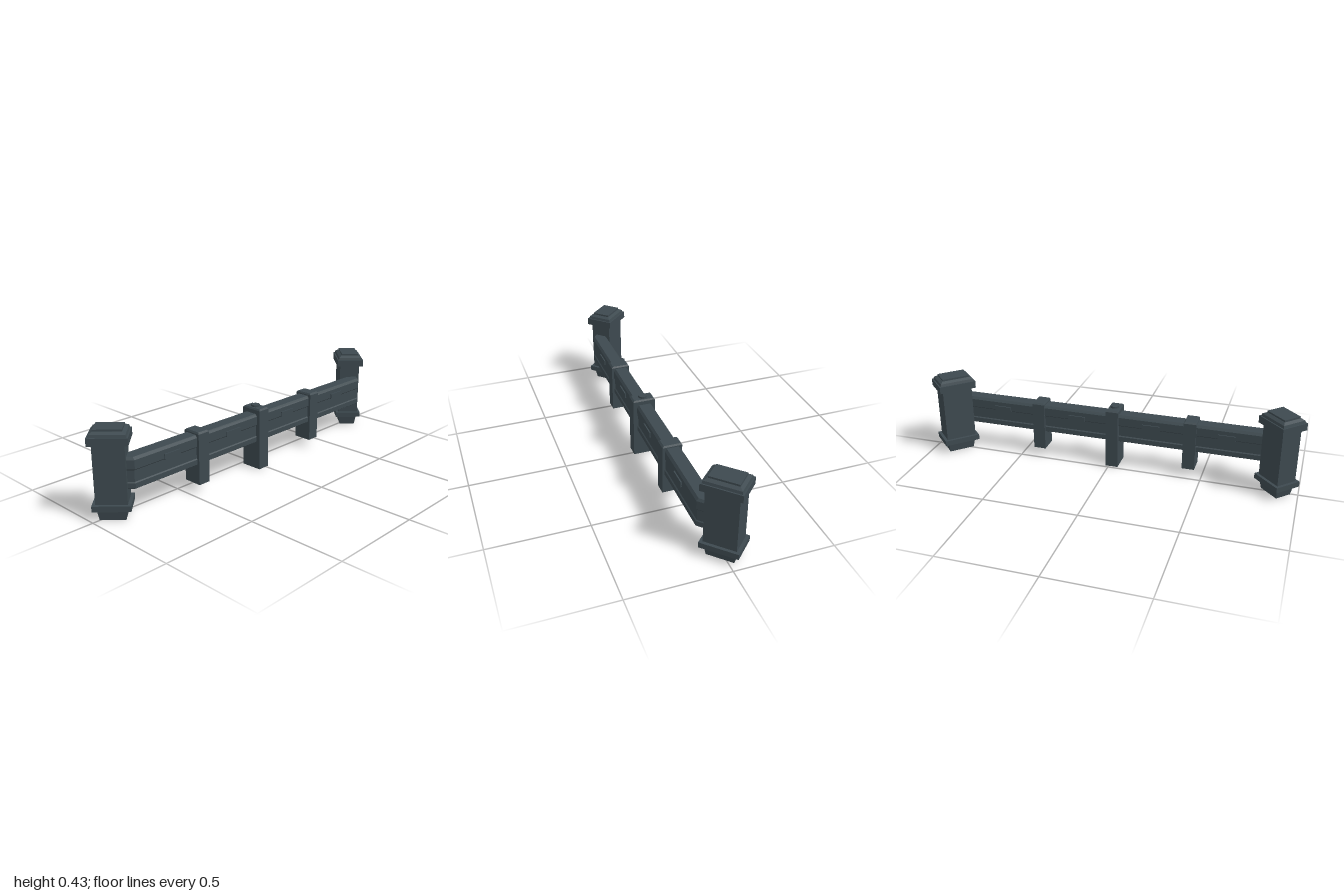
import * as THREE from 'three';

const steel = new THREE.MeshStandardMaterial({ color: 0x3d494f, side: THREE.DoubleSide });
steel.name = 'dark slate steel';

function mesh(name, geometry, parent) {
  const flat = geometry.index ? geometry.toNonIndexed() : geometry;
  flat.computeVertexNormals();
  const m = new THREE.Mesh(flat, steel);
  m.name = name;
  parent.add(m);
  return m;
}

// Box from y0 to y1 whose top may differ in size from its bottom
function block(y0, y1, w0, d0, w1 = w0, d1 = d0, openBottom = false) {
  const g = new THREE.BoxGeometry(1, 1, 1);
  const p = g.attributes.position;
  for (let i = 0; i < p.count; i++) {
    const top = p.getY(i) > 0;
    p.setXYZ(i, p.getX(i) * (top ? w1 : w0), top ? y1 : y0, p.getZ(i) * (top ? d1 : d0));
  }
  if (openBottom) {
    const index = Array.from(g.index.array);
    index.splice(18, 6); // bottom face
    g.setIndex(index);
    g.clearGroups();
  }
  return g;
}

// Corner pillar, w by d being the size of its shaft
function pillar(name, x, z, angle, w, d) {
  const group = new THREE.Group();
  group.name = name;
  group.position.set(x, 0, z);
  group.rotation.y = angle;
  // part, bottom, top, growth beyond the shaft at the bottom and at the top
  const parts = [
    ['pillarFoot', 0, 0.052, -0.025, -0.008],
    ['pillarBaseRing', 0.052, 0.08, 0.031, 0.031],
    ['pillarShaft', 0.08, 0.363, 0, 0],
    ['pillarCapBrim', 0.366, 0.403, 0.037, 0.037],
    ['pillarCapEdge', 0.403, 0.416, 0.024, 0.017],
    ['pillarCapSlope', 0.416, 0.425, 0.017, -0.012],
    ['pillarCapTop', 0.425, 0.434, -0.016, -0.016],
  ];
  for (const [part, y0, y1, g0, g1] of parts)
    mesh(part, block(y0, y1, w + g0, d + g0, w + g1, d + g1), group);
  return group;
}

// Rail beam: one cross-section lofted along x, the ends bent back to the pillars
function beamGeometry() {
  const half = [[0.036, 0.147], [0.04, 0.15], [0.04, 0.175], [0.035, 0.18],
    [0.035, 0.236], [0.04, 0.241], [0.04, 0.285], [0.03, 0.298]];
  const section = [...half, ...half.slice().reverse().map(([z, y]) => [-z, y])];
  const stations = [[-0.87, -0.035], [-0.835, 0], [0.825, 0], [0.86, -0.035]];
  const n = section.length;
  const position = [];
  const index = [];
  for (const [x, shift] of stations)
    for (const [z, y] of section) position.push(x, y, 0.07 + z + shift);
  for (let s = 0; s < stations.length - 1; s++)
    for (let i = 0; i < n; i++) {
      const a = s * n + i, b = s * n + (i + 1) % n;
      index.push(a, a + n, b, b, a + n, b + n);
    }
  // end caps, as strips between the two halves of the section
  const last = (stations.length - 1) * n;
  for (let i = 0; i < half.length - 1; i++) {
    const a = i, b = i + 1, c = n - 2 - i, d = n - 1 - i;
    index.push(a, b, c, a, c, d);
    index.push(last + a, last + c, last + b, last + a, last + d, last + c);
  }
  const g = new THREE.BufferGeometry();
  g.setAttribute('position', new THREE.Float32BufferAttribute(position, 3));
  g.setIndex(index);
  return g;
}

export function createModel() {
  const model = new THREE.Group();
  model.name = 'barrier';

  model.add(pillar('leftPillar', 0.875, -0.008, Math.PI / 4, 0.16, 0.111));
  model.add(pillar('rightPillar', -0.887, 0.008, -Math.PI / 4, 0.145, 0.113));

  mesh('beam', beamGeometry(), model);

  // Posts: hollow below, with a bevelled top
  const posts = [
    ['rightPost', -0.43, 0.045, 0.312, 0.099],
    ['middlePost', -0.017, 0, 0.326, 0.116],
    ['leftPost', 0.398, 0.045, 0.312, 0.099],
  ];
  for (const [name, x, y0, y1, depth] of posts) {
    const post = new THREE.Group();
    post.name = name;
    post.position.set(x, 0, 0.072);
    mesh('postBody', block(y0, y1 - 0.008, 0.066, depth, 0.066, depth, true), post);
    mesh('postTop', block(y1 - 0.008, y1, 0.066, depth, 0.056, depth - 0.016), post);
    model.add(post);
  }

  // Round stud on the middle post
  const stud = mesh('stud', new THREE.CylinderGeometry(0.022, 0.022, 0.014, 16), model);
  stud.position.set(-0.017, 0.329, 0.07);

  // Small plates on both faces of the beam
  for (const x of [-0.62, -0.223, 0.182, 0.607])
    for (const side of [1, -1]) {
      const plate = mesh('beamPlate', block(0.236, 0.264, 0.092, 0.012), model);
      plate.position.set(x, 0, 0.07 + side * 0.04);
    }

  return model;
}
